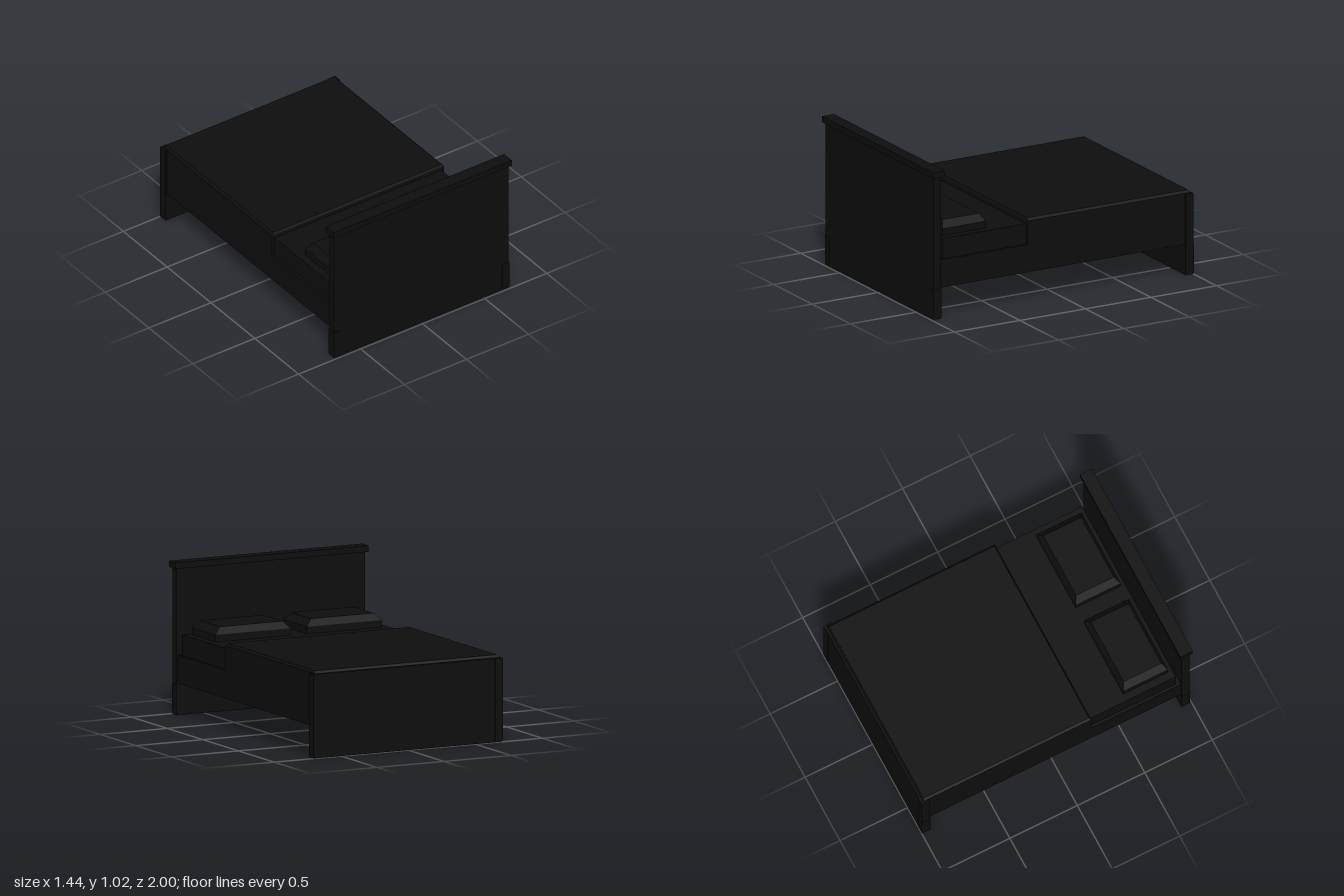
import * as THREE from 'three';

const black = new THREE.MeshStandardMaterial({ color: 0x0d0d0d });
black.name = 'black';

// Box given by its extents on each axis
function box(name, [x0, x1], [y0, y1], [z0, z1]) {
  const mesh = new THREE.Mesh(new THREE.BoxGeometry(x1 - x0, y1 - y0, z1 - z0), black);
  mesh.position.set((x0 + x1) / 2, (y0 + y1) / 2, (z0 + z1) / 2);
  mesh.name = name;
  return mesh;
}

// Box whose top is drawn in above shoulder height, with flat bevels
function beveledBox(name, [x0, x1], [y0, y1], [z0, z1], shoulder, insetX, insetZ) {
  const w = x1 - x0, h = y1 - y0, d = z1 - z0;
  const indexed = new THREE.BoxGeometry(w, h, d, 1, 2, 1);
  const p = indexed.attributes.position;
  for (let i = 0; i < p.count; i++) {
    if (p.getY(i) > h / 4) {
      p.setX(i, p.getX(i) * (1 - 2 * insetX / w));
      p.setZ(i, p.getZ(i) * (1 - 2 * insetZ / d));
    } else if (p.getY(i) > -h / 4) {
      p.setY(i, shoulder - (y0 + y1) / 2);
    }
  }
  const geometry = indexed.toNonIndexed();
  geometry.computeVertexNormals();
  const mesh = new THREE.Mesh(geometry, black);
  mesh.position.set((x0 + x1) / 2, (y0 + y1) / 2, (z0 + z1) / 2);
  mesh.name = name;
  return mesh;
}

export function createModel() {
  const bed = new THREE.Group();
  bed.name = 'bed';

  // Headboard with its cap, and the low footboard
  bed.add(box('headboard', [-0.703, 0.703], [0, 0.98], [0.928, 0.985]));
  bed.add(box('headboardCap', [-0.72, 0.72], [0.98, 1.022], [0.91, 1]));
  bed.add(box('footboard', [-0.703, 0.703], [0, 0.56], [-0.995, -0.94]));

  for (const side of [-1, 1]) {
    const span = (a, b) => (side > 0 ? [a, b] : [-b, -a]);
    // Side rails and the foot blocks at the four corners
    bed.add(box('sideRail', span(0.655, 0.69), [0.21, 0.4], [-0.94, 0.928]));
    bed.add(box('headFoot', span(0.65, 0.706), [0.01, 0.205], [0.925, 0.988]));
    bed.add(box('footFoot', span(0.65, 0.706), [0.01, 0.205], [-0.999, -0.937]));
    bed.add(box('footPost', span(0.65, 0.705), [0.205, 0.56], [-0.999, -0.94]));
    // Pillows
    bed.add(beveledBox('pillow', span(0.06, 0.62), [0.535, 0.635], [0.537, 0.87], 0.588, 0.045, 0.027));
  }

  // Mattress base, mattress and blanket
  bed.add(box('mattressBase', [-0.655, 0.655], [0.36, 0.4], [-0.94, 0.928]));
  bed.add(box('mattress', [-0.672, 0.672], [0.4, 0.54], [-0.94, 0.9]));
  bed.add(beveledBox('blanket', [-0.692, 0.692], [0.395, 0.58], [-0.982, 0.263], 0.565, 0.015, 0.01));

  return bed;
}
